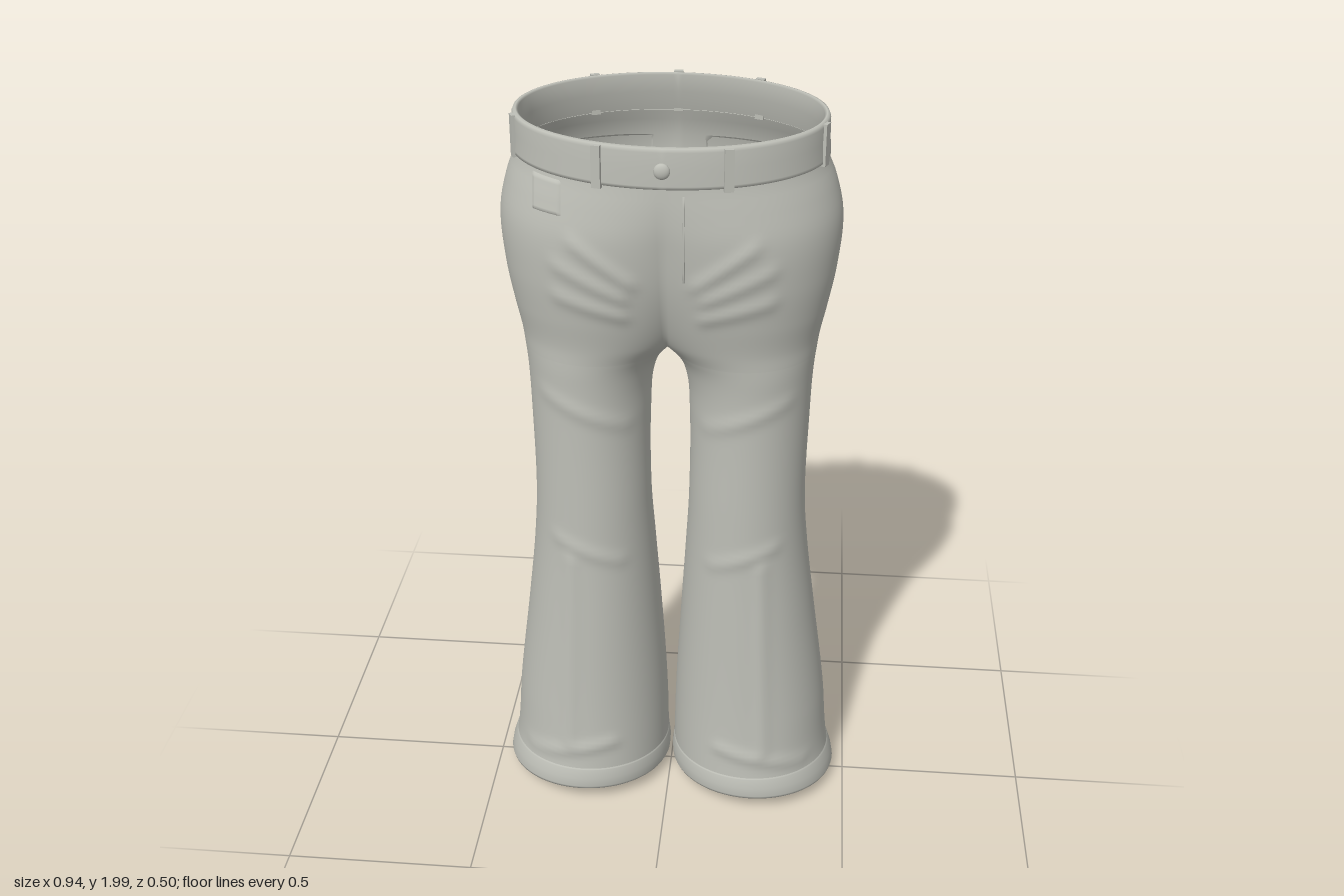
import * as THREE from 'three';
import { mergeVertices } from 'three/addons/utils/BufferGeometryUtils.js';

const { lerp, smoothstep } = THREE.MathUtils;

// One leg by height: y, inner x, outer x, front z, back z.
// A negative inner x means the two legs have merged at the middle.
const SECTIONS = [
  [0.03, 0.012, 0.465, 0.212, -0.245],
  [0.12, 0.01, 0.447, 0.203, -0.24],
  [0.3, 0.014, 0.43, 0.193, -0.222],
  [0.6, 0.03, 0.39, 0.184, -0.185],
  [0.8, 0.042, 0.365, 0.18, -0.148],
  [0.95, 0.05, 0.353, 0.18, -0.12],
  [1.2, 0.05, 0.355, 0.181, -0.133],
  [1.3, 0.042, 0.358, 0.184, -0.14],
  [1.355, 0.022, 0.362, 0.188, -0.146],
  [1.38, 0, 0.365, 0.19, -0.149],
  [1.42, -0.045, 0.37, 0.196, -0.155],
  [1.5, -0.1, 0.386, 0.213, -0.17],
  [1.6, -0.16, 0.404, 0.23, -0.2],
  [1.73, -0.23, 0.412, 0.24, -0.23],
  [1.82, -0.31, 0.392, 0.238, -0.222],
  [1.89, -0.365, 0.366, 0.234, -0.2],
  [1.98, -0.362, 0.362, 0.231, -0.184],
];
const CROTCH = 1.38;
const curve = new THREE.CubicInterpolant(
  SECTIONS.map((r) => r[0]), SECTIONS.flatMap((r) => r.slice(1)), 4, new Float64Array(4));

// Cloth folds: x0, y0, x1, y1, side (1 front, -1 back), height
const FOLDS = [
  [0.08, 1.62, 0.21, 1.72, 1, 0.006], [0.1, 1.58, 0.25, 1.65, 1, 0.006],
  [0.1, 1.53, 0.25, 1.57, 1, 0.006], [0.1, 1.2, 0.3, 1.28, 1, 0.005],
  [0.12, 0.8, 0.28, 0.86, 1, 0.005], [0.27, 0.2, 0.25, 0.8, 1, 0.006],
  [0.15, 0.2, 0.38, 0.14, 1, 0.007], [0.1, 0.99, 0.27, 0.96, -1, 0.008],
  [0.1, 0.92, 0.28, 0.91, -1, 0.008], [0.12, 0.85, 0.26, 0.87, -1, 0.008],
  [0.3, 0.3, 0.26, 0.8, -1, 0.008], [0.1, 0.22, 0.3, 0.16, -1, 0.006],
];
function foldHeight(x, y, side) {
  let h = 0;
  for (const [x0, y0, x1, y1, s, amp] of FOLDS) {
    if (s !== side) continue;
    const dx = x1 - x0, dy = y1 - y0;
    const t = THREE.MathUtils.clamp(((x - x0) * dx + (y - y0) * dy) / (dx * dx + dy * dy), 0, 1);
    const d = Math.hypot(x - x0 - dx * t, y - y0 - dy * t);
    h += amp * Math.exp(-((d / 0.02) ** 2));
  }
  return h;
}

// Ellipse of the leg at height y, grown by off
function ellipse(y, off = 0) {
  const [inner, outer, front, back] = curve.evaluate(y);
  const i = off ? inner - off : inner, o = outer + off;
  const cx = (i + o) / 2, a = (o - i) / 2;
  return {
    cx, a, cz: (front + back) / 2, rz: (front - back) / 2 + off,
    end: i >= 0 ? Math.PI : Math.acos(Math.max(-1, -cx / a)),
  };
}

// Surface point; hem and waist are tilted
function point(theta, y, off = 0) {
  const e = ellipse(y, off);
  const sin = Math.sin(theta);
  const x = Math.max(0, e.cx + e.a * Math.cos(theta));
  const z = e.cz + e.rz * sin + sin * foldHeight(x, y, sin >= 0 ? 1 : -1);
  const tilt = 0.11 * (1 - smoothstep(y, 0, 0.3)) - 0.1 * smoothstep(y, 1.6, 1.9);
  return new THREE.Vector3(x, y + tilt * z, z);
}
function thetaAt(x, y, side) {
  const e = ellipse(y);
  return side * Math.acos(THREE.MathUtils.clamp((x - e.cx) / e.a, -1, 1));
}

function finish(pos, idx) {
  let g = new THREE.BufferGeometry();
  g.setAttribute('position', new THREE.Float32BufferAttribute(pos, 3));
  g.setIndex(idx);
  g = mergeVertices(g, 1e-5);
  g.computeVertexNormals();
  return g;
}

// Sweep a profile of [y, offset] around both legs, mirrored at x = 0
function shell(profile, n = 96) {
  const pos = [], idx = [];
  for (const m of [1, -1]) {
    const base = pos.length / 3;
    profile.forEach(([y, off], i) => {
      const end = ellipse(y, off).end;
      for (let j = 0; j <= n; j++) {
        const p = point(lerp(-end, end, j / n), y, off);
        const seam = end < Math.PI && (j === 0 || j === n);
        pos.push(seam ? 0 : m * p.x, p.y, p.z);
        if (i === 0 || j === 0) continue;
        const d = base + i * (n + 1) + j, c = d - 1, b = d - n - 1, a = b - 1;
        if (m > 0) idx.push(a, c, b, b, c, d);
        else idx.push(a, b, c, b, d, c);
      }
    });
  }
  return finish(pos, idx);
}

// Thin plate lying on the cloth; its bottom edge may come to a point
function plate(xa, xb, top, bottom, tip, side, off, taper = 0, lift = 0, n = 14) {
  const pos = [], idx = [], mid = (xa + xb) / 2;
  for (let i = 0; i <= n; i++) {
    for (let j = 0; j <= n; j++) {
      const u = j / n, v = i / n;
      const x = mid + (lerp(xa, xb, u) - mid) * (1 - taper * v);
      const y = lerp(top, bottom - tip * (1 - Math.abs(2 * u - 1)), v);
      const edge = i === 0 || j === 0 || i === n || j === n;
      const p = point(thetaAt(Math.abs(x), y, side), y, edge ? lift - 0.002 : lift + off);
      pos.push(Math.sign(x) * p.x, p.y, p.z);
      if (i === 0 || j === 0) continue;
      const d = i * (n + 1) + j, c = d - 1, b = d - n - 1, a = b - 1;
      idx.push(a, b, c, b, d, c);
    }
  }
  return finish(pos, idx);
}

export function createModel() {
  const group = new THREE.Group();
  const cloth = new THREE.MeshStandardMaterial({ color: 0xbebfb7, side: THREE.DoubleSide });
  cloth.name = 'pale grey cloth';
  const add = (name, geometry) => {
    const mesh = new THREE.Mesh(geometry, cloth);
    mesh.name = name;
    group.add(mesh);
    return mesh;
  };

  // Legs and seat, with rows packed close together above the crotch
  const rows = [];
  for (let i = 0; i <= 90; i++) rows.push([lerp(0.04, CROTCH, i / 90), 0]);
  for (let i = 1; i <= 50; i++) rows.push([lerp(CROTCH, 1.96, (i / 50) ** 2), 0]);
  add('trousers', shell(rows));

  // Waistband and turned hems with rounded rims
  add('waistband', shell([
    [1.878, -0.002], [1.882, 0.007], [1.89, 0.009], [1.93, 0.009], [1.968, 0.009],
    [1.976, 0.006], [1.978, 0], [1.974, -0.006], [1.93, -0.007], [1.88, -0.004],
  ]));
  add('hems', shell([
    [0.108, -0.001], [0.1, 0.001], [0.1, 0.003], [0.07, 0.007], [0.042, 0.006],
    [0.033, 0.002], [0.034, -0.005], [0.045, -0.009], [0.1, -0.002],
  ].reverse().map(([y, o]) => [y, o])).scale(1, 1, 1));

  // Belt loops around the band
  const y = 1.925;
  const loop = (theta, m) => {
    const e = ellipse(y);
    const mesh = add('beltLoop', new THREE.BoxGeometry(0.022, 0.1, 0.012));
    mesh.position.copy(point(theta, y, 0.011));
    mesh.position.x *= m;
    mesh.rotation.y = Math.atan2(m * Math.cos(theta) / e.a, Math.sin(theta) / e.rz);
  };
  for (const m of [1, -1]) {
    loop(thetaAt(0.145, y, 1), m);
    loop(0.25, m);
    loop(thetaAt(0.195, y, -1), m);
  }
  loop(thetaAt(0, y, -1), 1);

  // Waist button
  const button = add('button', new THREE.SphereGeometry(0.019, 20, 12).scale(1, 1, 0.5));
  button.position.copy(point(thetaAt(0, 1.927, 1), 1.927, 0.012));

  // Back pockets, back patch and coin pocket
  add('leftBackPocket', plate(0.065, 0.31, 1.81, 1.6, 0.06, -1, 0.007, 0.14));
  add('rightBackPocket', plate(-0.31, -0.065, 1.81, 1.6, 0.06, -1, 0.007, 0.14));
  add('backPatch', plate(-0.15, -0.03, 1.955, 1.9, 0, -1, 0.004, 0, 0.009));
  add('coinPocket', plate(-0.235, -0.31, 1.872, 1.785, 0, 1, 0.004));

  // Fly stitching ridge
  add('flyStitch', plate(0.052, 0.046, 1.87, 1.62, 0, 1, 0.003));
  return group;
}
